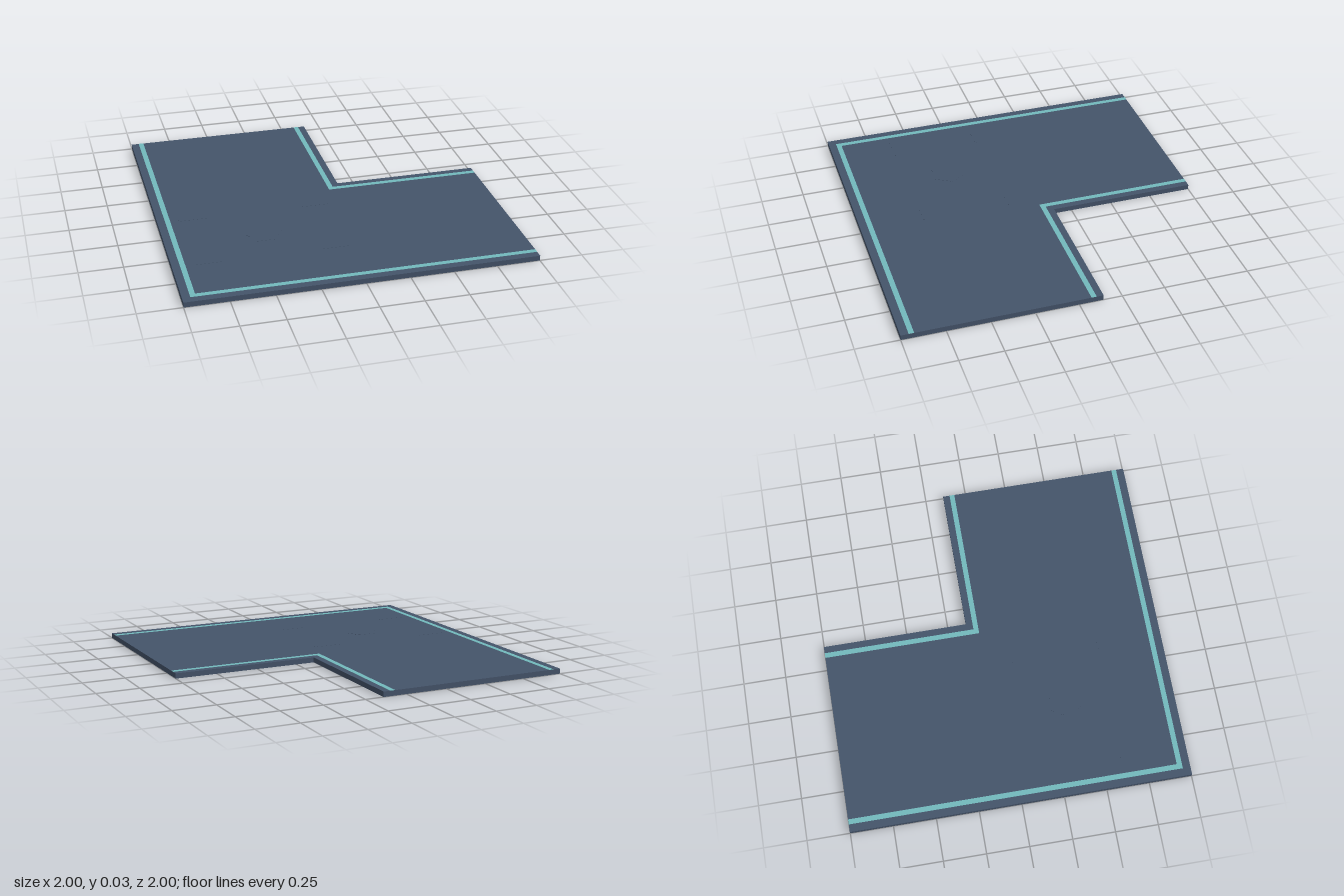
import * as THREE from 'three';

const TOP = 0.03;

export function createModel() {
  const model = new THREE.Group();
  const slate = new THREE.MeshStandardMaterial({ color: 0x44546a });
  slate.name = 'slate';
  const teal = new THREE.MeshStandardMaterial({ color: 0x73b9bd });
  teal.name = 'teal';

  // Extrudes an outline of [x, z] points upward from height y
  const plate = (name, points, y, height, material) => {
    const shape = new THREE.Shape(points.map(([x, z]) => new THREE.Vector2(x, -z)));
    const geometry = new THREE.ExtrudeGeometry(shape, { depth: height, bevelEnabled: false });
    geometry.rotateX(-Math.PI / 2);
    const mesh = new THREE.Mesh(geometry, material);
    mesh.name = name;
    mesh.position.y = y;
    model.add(mesh);
  };

  // L-shaped floor slab
  plate('floorSlab', [[-1, 1], [1, 1], [1, -0.14], [0.14, -0.14], [0.14, -1], [-1, -1]], 0, TOP, slate);

  // Corner stripes following the outer and inner edges; near is the corner side
  const cornerStripe = (name, corner, width) => {
    const a = corner, b = corner + width;
    plate(name, [[a, -a], [1, -a], [1, -b], [b, -b], [b, -1], [a, -1]], TOP, 0.0008, teal);
  };
  cornerStripe('outerStripe', -0.955, 0.03);
  cornerStripe('innerStripe', 0.07, 0.03);

  // Hexagonal floor hatch
  const cx = -0.43, cz = 0.36;
  const hexagon = Array.from({ length: 6 }, (_, i) => {
    const angle = -i * Math.PI / 3;
    return [cx + 0.105 * Math.cos(angle), cz + 0.105 * Math.sin(angle)];
  });
  plate('hatch', hexagon, TOP, 0.0008, slate);

  // Four low ribs around the hatch
  for (const sx of [-1, 1]) {
    for (const sz of [-1, 1]) {
      const rib = new THREE.Mesh(new THREE.BoxGeometry(0.165, 0.0008, 0.014), slate);
      rib.name = 'floorRib';
      rib.position.set(cx + sx * 0.363, TOP + 0.0004, cz + sz * 0.26);
      model.add(rib);
    }
  }
  return model;
}
